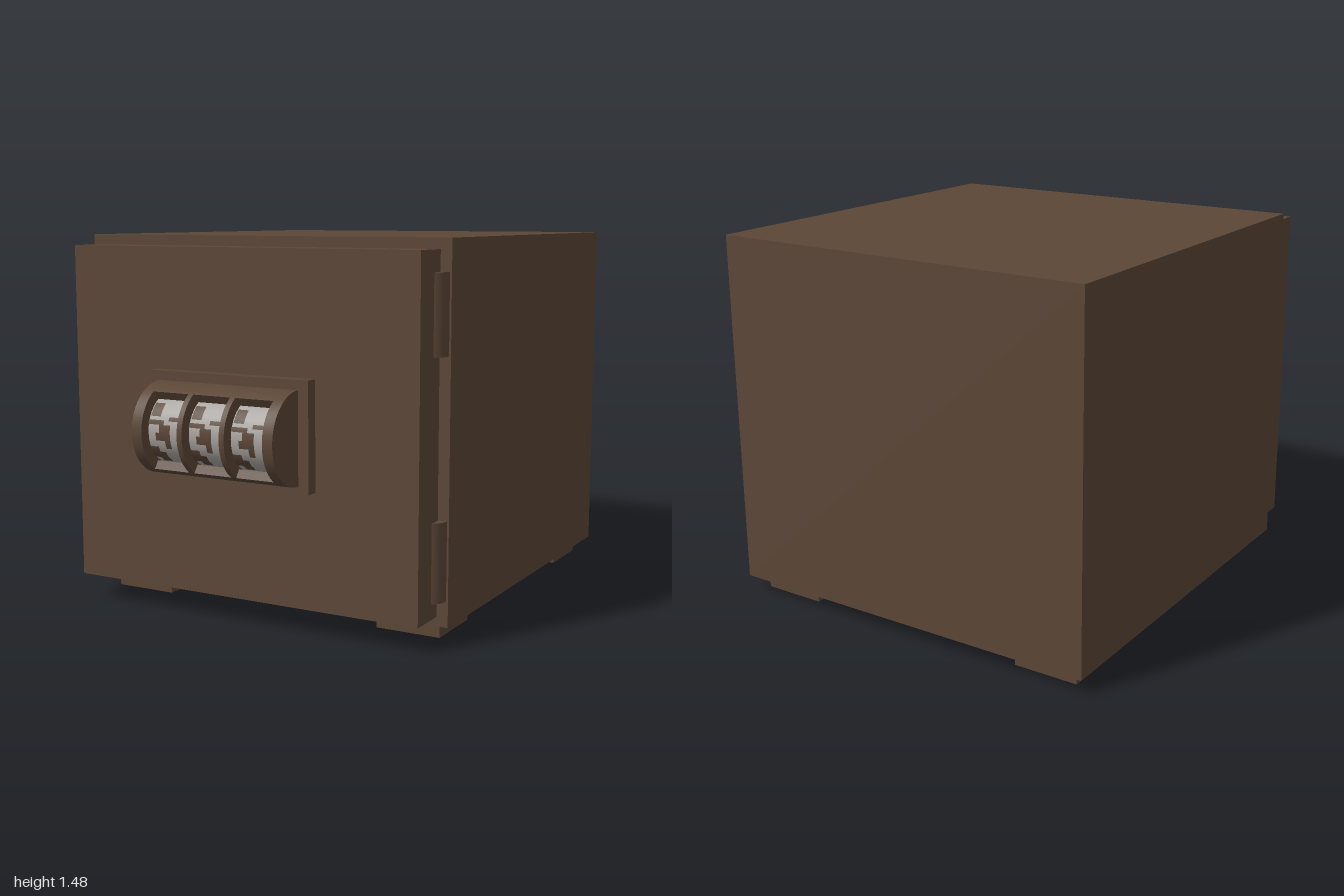
import * as THREE from 'three';
import { toCreasedNormals } from 'three/addons/utils/BufferGeometryUtils.js';

export function createModel() {
  const safe = new THREE.Group();
  safe.name = 'safe';
  const brown = new THREE.MeshStandardMaterial({ name: 'brown metal', color: 0x5c4737 });
  const grey = new THREE.MeshStandardMaterial({ name: 'pale wheel', color: 0xaaa6a2 });

  const add = (name, geometry, material = brown, parent = safe) => {
    const mesh = new THREE.Mesh(geometry, material);
    mesh.name = name;
    parent.add(mesh);
    return mesh;
  };
  // Box given by its limits on each axis
  const box = (name, x0, x1, y0, y1, z0, z1) =>
    add(name, new THREE.BoxGeometry(x1 - x0, y1 - y0, z1 - z0))
      .position.set((x0 + x1) / 2, (y0 + y1) / 2, (z0 + z1) / 2);

  // Cabinet, door and lock plate
  box('cabinet', -0.8, 0.8, 0.06, 1.48, -1, 0.6);
  box('door', -0.76, 0.76, 0.1, 1.44, 0.61, 0.77);
  box('lockPlate', -0.365, 0.34, 0.55, 0.97, 0.77, 0.82);

  // Feet
  for (const side of [-1, 1]) {
    for (const z of [-0.81, 0.42]) {
      box('foot', side * 0.6125 - 0.1325, side * 0.6125 + 0.1325, 0, 0.06, z - 0.13, z + 0.13);
    }
  }

  // Hinges on the left edge of the door
  for (const y of [0.31, 1.21]) {
    add('hinge', new THREE.CylinderGeometry(0.065, 0.065, 0.3, 24)).position.set(0.728, y, 0.605);
  }

  // Combination lock, built around the axis of its wheels
  const lock = new THREE.Group();
  lock.name = 'combinationLock';
  lock.position.set(0, 0.755, 0.82);
  safe.add(lock);
  const R = 0.178, INNER = 0.142, OPEN = 0.98;

  // Extrudes a z-y profile from x0 to x1
  const profile = (name, shape, x0, x1) => {
    const g = new THREE.ExtrudeGeometry(shape, { depth: x1 - x0, bevelEnabled: false, curveSegments: 24 });
    g.rotateY(-Math.PI / 2).translate(x1, 0, 0);
    add(name, toCreasedNormals(g, 0.6), brown, lock);
  };
  // Upper and lower housing shells leave the window between them
  for (const [start, end] of [[OPEN, Math.PI / 2], [-Math.PI / 2, -OPEN]]) {
    const shell = new THREE.Shape();
    shell.absarc(0, 0, R, start, end, false);
    shell.absarc(0, 0, INNER, end, start, true);
    shell.closePath();
    profile('housingShell', shell, -0.32, 0.297);
  }
  // End caps and dividers
  const half = new THREE.Shape();
  half.absarc(0, 0, R, -Math.PI / 2, Math.PI / 2, false);
  half.closePath();
  for (const [x0, x1] of [[-0.32, -0.275], [-0.115, -0.093], [0.07, 0.092], [0.254, 0.297]]) {
    profile('housingDivider', half, x0, x1);
  }

  // Curved surface at radius r between two heights and two x positions
  const curved = (name, r, y0, y1, x0, x1, material) => {
    const a = Math.asin(y0 / r), b = Math.asin(y1 / r);
    const g = new THREE.CylinderGeometry(r, r, x1 - x0, 16, 1, true, a, b - a);
    g.rotateZ(Math.PI / 2).translate((x0 + x1) / 2, 0, 0);
    add(name, g, material, lock);
  };
  // Worn markings: lower and upper height, start and end along the wheel
  const marks = [
    [0.06, 0.105, 0.006, 0.05], [0.118, 0.132, 0, 0.02],
    [0.045, 0.06, 0.09, 0.157], [0.03, 0.047, 0, 0.07],
    [0.0, 0.03, 0.05, 0.1], [-0.03, 0.0, 0.035, 0.1], [-0.06, -0.03, 0.075, 0.1],
    [-0.075, -0.055, 0, 0.04], [-0.1, -0.075, 0, 0.065], [-0.115, -0.1, 0.03, 0.07],
    [-0.11, -0.04, 0.137, 0.157],
  ];
  for (const x of [-0.274, -0.09, 0.095]) {
    curved('numberWheel', 0.136, -0.1359, 0.1359, x, x + 0.158, grey);
    for (const [y0, y1, u0, u1] of marks) {
      curved('wheelMarking', 0.139, y0, y1, x + u0, x + u1, brown);
    }
  }
  return safe;
}
